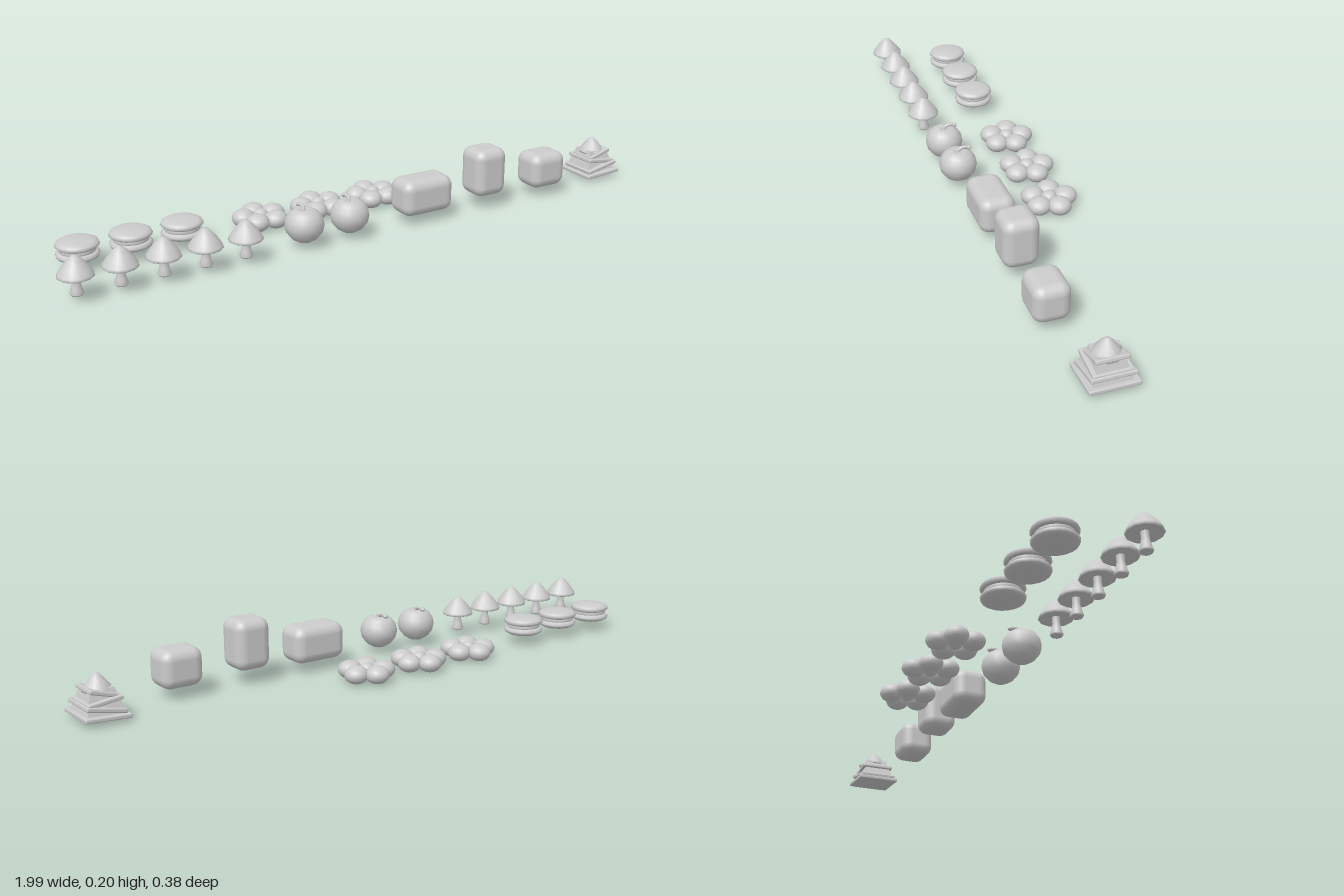
import * as THREE from 'three';
import { RoundedBoxGeometry } from 'three/addons/geometries/RoundedBoxGeometry.js';

const mat = new THREE.MeshStandardMaterial({ color: 0xcccccc, side: THREE.DoubleSide });

function add(parent, name, geometry, x = 0, y = 0, z = 0) {
  const mesh = new THREE.Mesh(geometry, mat);
  mesh.name = name;
  mesh.position.set(x, y, z);
  parent.add(mesh);
  return mesh;
}

function item(parent, name, x, z) {
  const g = new THREE.Group();
  g.name = name;
  g.position.set(x, 0, z);
  parent.add(g);
  return g;
}

const lathe = (points, sides) =>
  new THREE.LatheGeometry(points.map(([r, y]) => new THREE.Vector2(r, y)), sides);

function ellipsoid(rx, ry, rz = rx, w = 16, h = 12) {
  return new THREE.SphereGeometry(1, w, h).scale(rx, ry, rz);
}

// Pointed cap with a shallow underside, on a flared stem
function mushroom(parent, x, z) {
  const g = item(parent, 'mushroom', x, z);
  add(g, 'mushroomCap', lathe([[0, 0.08], [0.03, 0.076], [0.048, 0.073], [0.052, 0.076],
    [0.05, 0.083], [0.037, 0.102], [0.022, 0.12], [0.01, 0.132], [0, 0.135]], 12));
  add(g, 'mushroomStem', lathe([[0, 0.02], [0.017, 0.02], [0.02, 0.025], [0.015, 0.04],
    [0.011, 0.06], [0.012, 0.08]], 12));
}

// Two domed shells around a narrower filling
function macaron(parent, x, z) {
  const g = item(parent, 'macaron', x, z);
  const shell = [[0, 0.005], [0.05, 0.005], [0.058, 0.008], [0.064, 0.014], [0.061, 0.022],
    [0.05, 0.028], [0.03, 0.031], [0, 0.032]];
  add(g, 'upperShell', lathe(shell, 20), 0, 0.06, 0);
  add(g, 'lowerShell', lathe(shell, 20), 0, 0.062, 0).rotation.x = Math.PI;
  add(g, 'filling', lathe([[0, 0.052], [0.05, 0.052], [0.055, 0.061], [0.05, 0.07], [0, 0.07]], 20));
}

// Five plump petals, one pointing back, around a small centre
function flower(parent, x, z) {
  const g = item(parent, 'flower', x, z);
  for (let i = 0; i < 5; i++) {
    const a = i * Math.PI * 2 / 5;
    add(g, 'petal', ellipsoid(0.037, 0.028), 0.053 * Math.sin(a), 0.03, -0.053 * Math.cos(a));
  }
  add(g, 'flowerCentre', ellipsoid(0.025, 0.022), 0, 0.034, 0);
}

// Round fruit, dimpled at the top, with a bent stalk
function fruit(parent, x, z) {
  const g = item(parent, 'fruit', x, z);
  add(g, 'fruitBody', lathe([[0, 0.019], [0.02, 0.022], [0.04, 0.034], [0.055, 0.053], [0.06, 0.074],
    [0.056, 0.095], [0.044, 0.112], [0.028, 0.122], [0.014, 0.122], [0, 0.116]], 20));
  const path = new THREE.CatmullRomCurve3([[0, 0.112, 0], [0, 0.126, -0.006], [0, 0.13, -0.02], [0, 0.127, -0.038]]
    .map(p => new THREE.Vector3(...p)));
  add(g, 'stalk', new THREE.TubeGeometry(path, 8, 0.006, 8));
  add(g, 'stalkTip', ellipsoid(0.008, 0.007, 0.008, 10, 8), 0, 0.127, -0.036);
  add(g, 'stalkBud', ellipsoid(0.007, 0.005, 0.007, 10, 8), 0, 0.12, 0.017);
}

// Stepped square pyramid of tilted slabs under a pointed cap
function layeredPyramid(parent, x, z) {
  const g = item(parent, 'layeredPyramid', x, z);
  const core = new THREE.CylinderGeometry(0.035 * Math.SQRT2, 0.06 * Math.SQRT2, 0.08, 4).rotateY(Math.PI / 4);
  core.computeVertexNormals();
  add(g, 'pyramidCore', core.toNonIndexed(), 0, 0.056, 0).geometry.computeVertexNormals();
  const tilts = [0.06, 0.2, -0.12, 0.28];
  [0.068, 0.06, 0.052, 0.043].forEach((half, i) => {
    const slab = add(g, 'pyramidSlab',
      new RoundedBoxGeometry(half * 2, 0.013, half * 2 + 0.008, 2, 0.004), 0, 0.021 + i * 0.021, 0);
    slab.rotation.z = tilts[i];
  });
  add(g, 'pyramidCap', lathe([[0, 0.084], [0.042, 0.084], [0.043, 0.09], [0.032, 0.104],
    [0.018, 0.122], [0.008, 0.132], [0, 0.135]], 10));
}

export function createModel() {
  const root = new THREE.Group();
  root.name = 'sweetsAndGardenSet';

  for (let i = 0; i < 5; i++) mushroom(root, -0.947 + i * 0.1255, 0.138);
  for (let i = 0; i < 3; i++) macaron(root, -0.872 + i * 0.16, -0.074);
  for (let i = 0; i < 3; i++) flower(root, -0.278 + i * 0.203, -0.104);
  for (const x of [-0.246, -0.091]) fruit(root, x, 0.122);

  // Soft-cornered blocks: x, centre height, width, height
  for (const [x, y, w, h] of [[0.181, 0.088, 0.18, 0.115], [0.42, 0.123, 0.116, 0.156], [0.655, 0.091, 0.132, 0.116]])
    add(root, 'softBlock', new RoundedBoxGeometry(w, h, 0.11, 3, 0.032), x, y, 0.104);

  layeredPyramid(root, 0.927, 0.045);
  return root;
}
